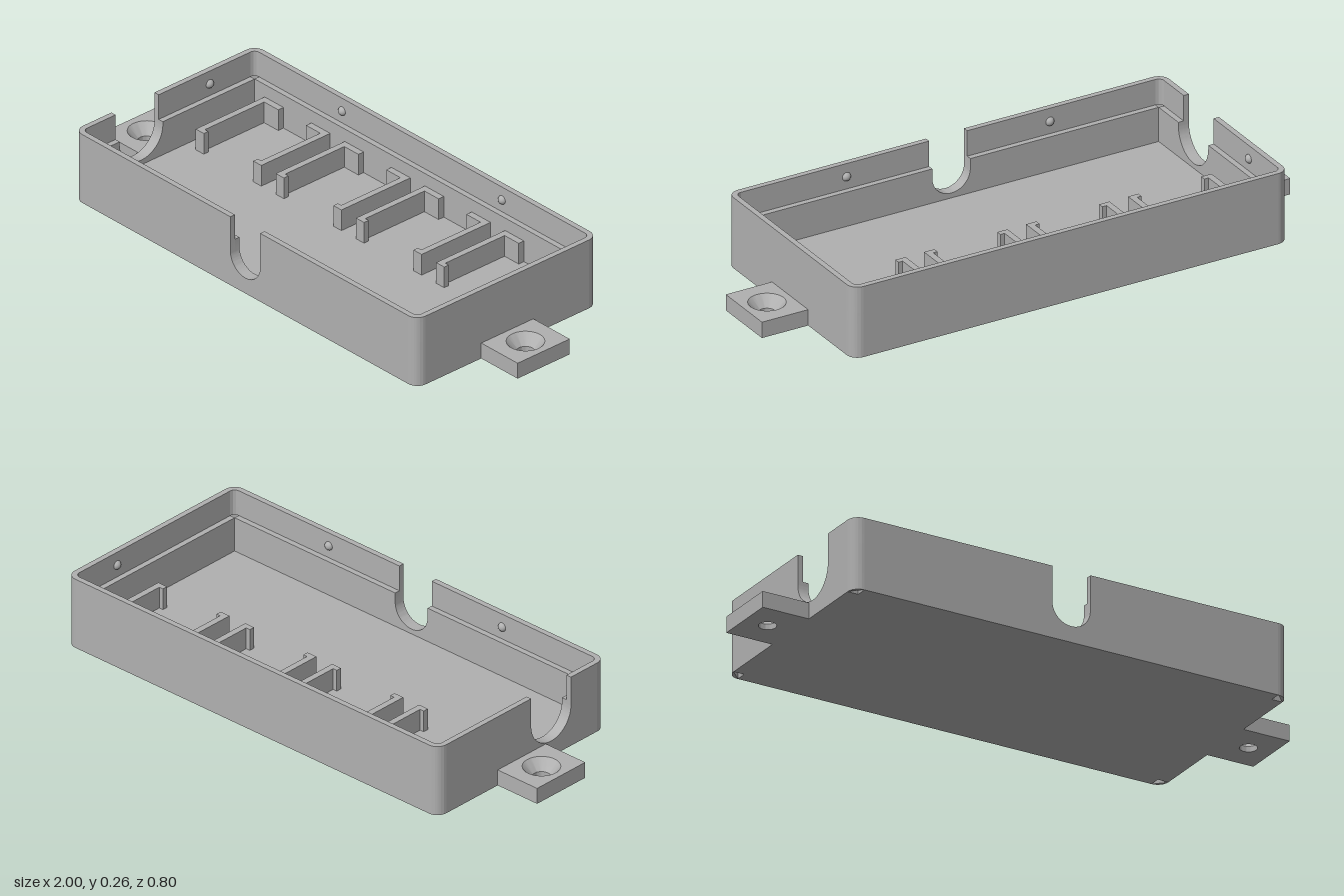
import * as THREE from 'three';
import { toCreasedNormals } from 'three/addons/utils/BufferGeometryUtils.js';

const W = 0.825, D = 0.4, H = 0.258;      // half width, half depth, height
const T = 0.04, LIP = 0.02;               // wall and lip thickness, corner radius = T
const LEDGE = 0.165, FLOOR = 0.04, TAB = 0.058;

export function createModel() {
  const root = new THREE.Group();
  root.name = 'enclosure';
  const plastic = new THREE.MeshStandardMaterial({ color: 0xb0b0b0 });
  plastic.name = 'grey plastic';

  const add = (parent, name, geometry, x = 0, y = 0, z = 0) => {
    const mesh = new THREE.Mesh(geometry, plastic);
    mesh.name = name;
    mesh.position.set(x, y, z);
    parent.add(mesh);
    return mesh;
  };
  const group = (name, parent = root) => {
    const g = new THREE.Group();
    g.name = name;
    parent.add(g);
    return g;
  };
  const extrude = (shape, depth) => toCreasedNormals(
    new THREE.ExtrudeGeometry(shape, { depth, bevelEnabled: false, curveSegments: 24 }), 0.6);
  // Extrude a plan shape (drawn in x, -z) upward
  const extrudeUp = (shape, height) => extrude(shape, height).rotateX(-Math.PI / 2);

  // Floor slab
  add(root, 'floor', new THREE.BoxGeometry(2 * (W - T), FLOOR, 2 * (D - T)), 0, FLOOR / 2, 0);

  // Wall elevation with an optional round-bottomed cable notch
  const wallShape = (half, top, notch) => {
    const s = new THREE.Shape();
    s.moveTo(-half, 0);
    s.lineTo(half, 0);
    s.lineTo(half, top);
    if (notch) {
      s.lineTo(notch.u + notch.r, top);
      s.absarc(notch.u, TAB + notch.r, notch.r, 0, -Math.PI, true);
      s.lineTo(notch.u - notch.r, top);
    }
    s.lineTo(-half, top);
    s.closePath();
    return s;
  };
  // Each wall has a low inner layer (ledge) and a tall outer layer (lip)
  const wall = (name, half, x, z, turn, notch) => {
    const g = group(name);
    g.position.set(x, 0, z);
    g.rotation.y = turn;
    add(g, 'ledge', extrude(wallShape(half, LEDGE, notch), T - LIP));
    add(g, 'lip', extrude(wallShape(half, H, notch), LIP), 0, 0, T - LIP);
  };
  wall('frontWall', W - T, 0, D - T, 0, { u: 0, r: 0.072 });
  wall('backWall', W - T, 0, -(D - T), Math.PI);
  wall('leftWall', D - T, W - T, 0, Math.PI / 2);
  wall('rightWall', D - T, -(W - T), 0, -Math.PI / 2, { u: 0.14, r: 0.095 });

  // Rounded corners
  const wedge = new THREE.Shape();
  wedge.moveTo(0, 0);
  wedge.absarc(0, 0, T, 0, Math.PI / 2, false);
  wedge.closePath();
  const arc = new THREE.Shape();
  arc.absarc(0, 0, T, 0, Math.PI / 2, false);
  arc.absarc(0, 0, T - LIP, Math.PI / 2, 0, true);
  arc.closePath();
  [[1, -1], [-1, -1], [-1, 1], [1, 1]].forEach(([sx, sz], i) => {
    const g = group('corner');
    g.position.set(sx * (W - T), 0, sz * (D - T));
    g.rotation.y = i * Math.PI / 2;
    add(g, 'cornerBase', extrudeUp(wedge, LEDGE));
    add(g, 'cornerLip', extrudeUp(arc, H - LEDGE), 0, LEDGE, 0);
  });

  // Mounting tabs with countersunk screw holes
  for (const s of [-1, 1]) {
    const tab = group('mountingTab');
    tab.position.x = s * 0.9125;
    const plate = new THREE.Shape();
    plate.moveTo(-0.0875, -0.115);
    plate.lineTo(0.0875, -0.115);
    plate.lineTo(0.0875, 0.115);
    plate.lineTo(-0.0875, 0.115);
    plate.closePath();
    const hole = new THREE.Path();
    hole.absarc(0, 0, 0.063, 0, Math.PI * 2, true);
    plate.holes.push(hole);
    add(tab, 'tabPlate', extrudeUp(plate, TAB));
    const profile = [[0.063, TAB], [0.03, 0.02], [0.03, 0], [0.063, 0]]
      .map(([r, y]) => new THREE.Vector2(r, y));
    add(tab, 'countersink', toCreasedNormals(new THREE.LatheGeometry(profile, 48), 0.5));
  }

  // Four pairs of hooked retaining ribs along the back wall
  const ribHeight = 0.118 - FLOOR;
  const rib = (side) => {
    const pts = [[0.158, 0.362], [0.067, 0.362], [0.067, 0.337], [0.135, 0.337],
      [0.135, 0.076], [0.119, 0.076], [0.119, 0.056], [0.158, 0.056]];
    return new THREE.Shape(pts.map(([x, y]) => new THREE.Vector2(side * x, y)));
  };
  for (let i = 0; i < 4; i++) {
    const pair = group('ribPair');
    pair.position.set((i - 1.5) * 0.386, FLOOR, 0);
    for (const side of [-1, 1]) add(pair, 'rib', extrudeUp(rib(side), ribHeight));
  }

  // Snap bumps inside the lip
  const bump = new THREE.SphereGeometry(0.016, 20, 14);
  for (const s of [-1, 1]) {
    for (const x of [-0.385, 0.385]) add(root, 'snapBump', bump, x, 0.21, s * 0.383);
    add(root, 'snapBump', bump, s * 0.808, 0.21, -0.18);
  }
  return root;
}
